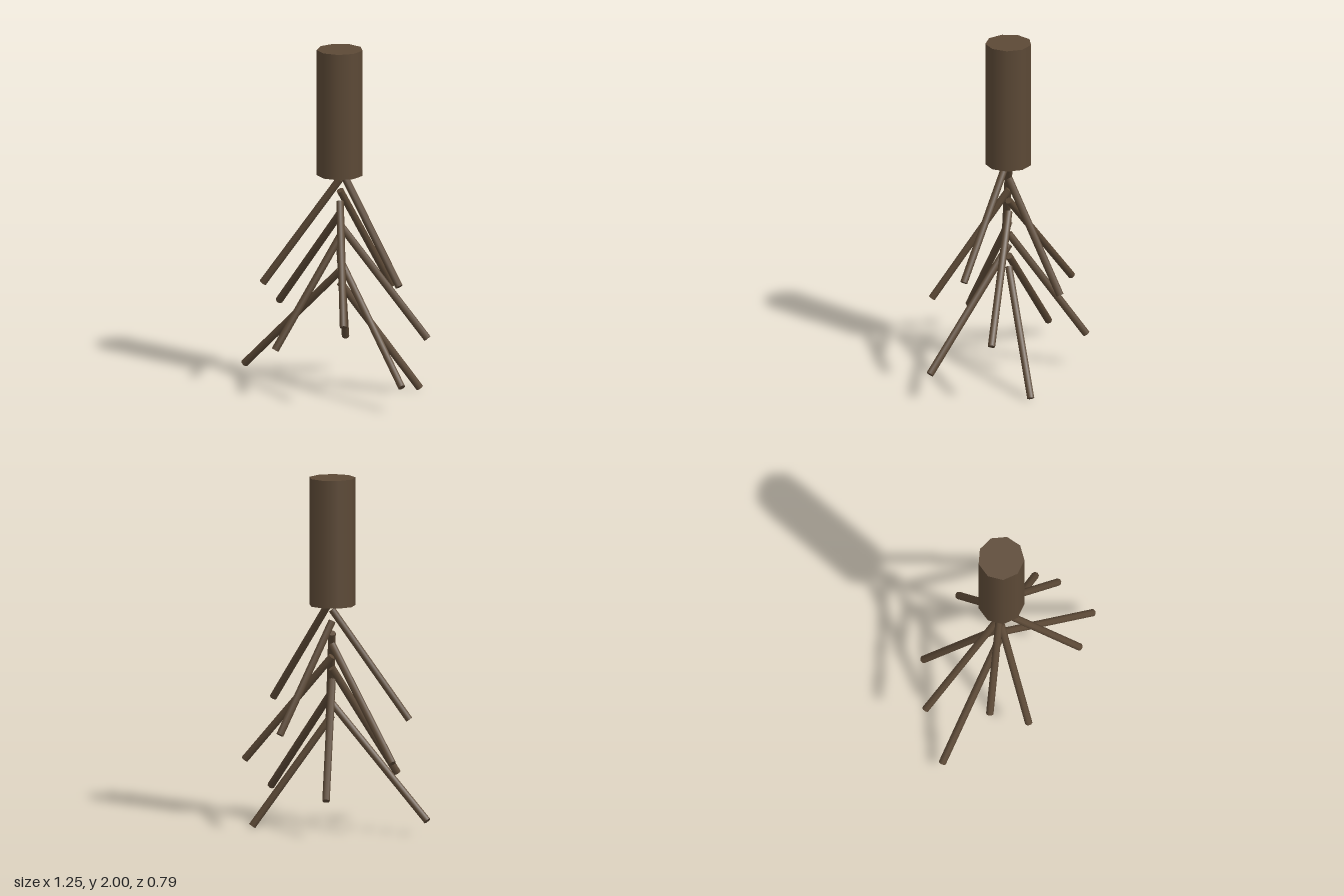
import * as THREE from 'three';

const UP = new THREE.Vector3(0, 1, 0);

// Straight round rod between two points
function rod(from, to, radius, material) {
  const dir = to.clone().sub(from);
  const mesh = new THREE.Mesh(new THREE.CylinderGeometry(radius, radius, dir.length(), 8), material);
  mesh.position.copy(from).add(to).multiplyScalar(0.5);
  mesh.quaternion.setFromUnitVectors(UP, dir.normalize());
  return mesh;
}

export function createModel() {
  const model = new THREE.Group();
  model.name = 'trunkWithRoots';
  const bark = new THREE.MeshStandardMaterial({ color: 0x5c4936 });
  bark.name = 'barkBrown';

  // Nine-sided trunk
  const trunk = new THREE.Mesh(new THREE.CylinderGeometry(0.132, 0.132, 0.73, 9), bark);
  trunk.name = 'trunk';
  trunk.position.set(0.002, 1.635, 0.005);
  model.add(trunk);

  // Root tips, in order from the highest to the lowest start on the axis
  const tips = [
    [0.463, 0.695, 0], [-0.352, 0.625, 0.265], [0.045, 0.565, -0.375],
    [0.325, 0.49, 0.31], [-0.538, 0.43, -0.062], [0.488, 0.36, -0.205],
    [-0.15, 0.287, 0.375], [-0.28, 0.218, -0.335], [0.61, 0.158, 0.132],
    [-0.612, 0.087, 0.145], [0.295, 0.014, -0.343],
  ];
  tips.forEach((tip, i) => {
    const start = new THREE.Vector3(0.002, 1.312 - 0.067 * i, 0.003);
    const root = rod(start, new THREE.Vector3(...tip), 0.0215, bark);
    root.name = `root${i + 1}`;
    model.add(root);
  });
  return model;
}
